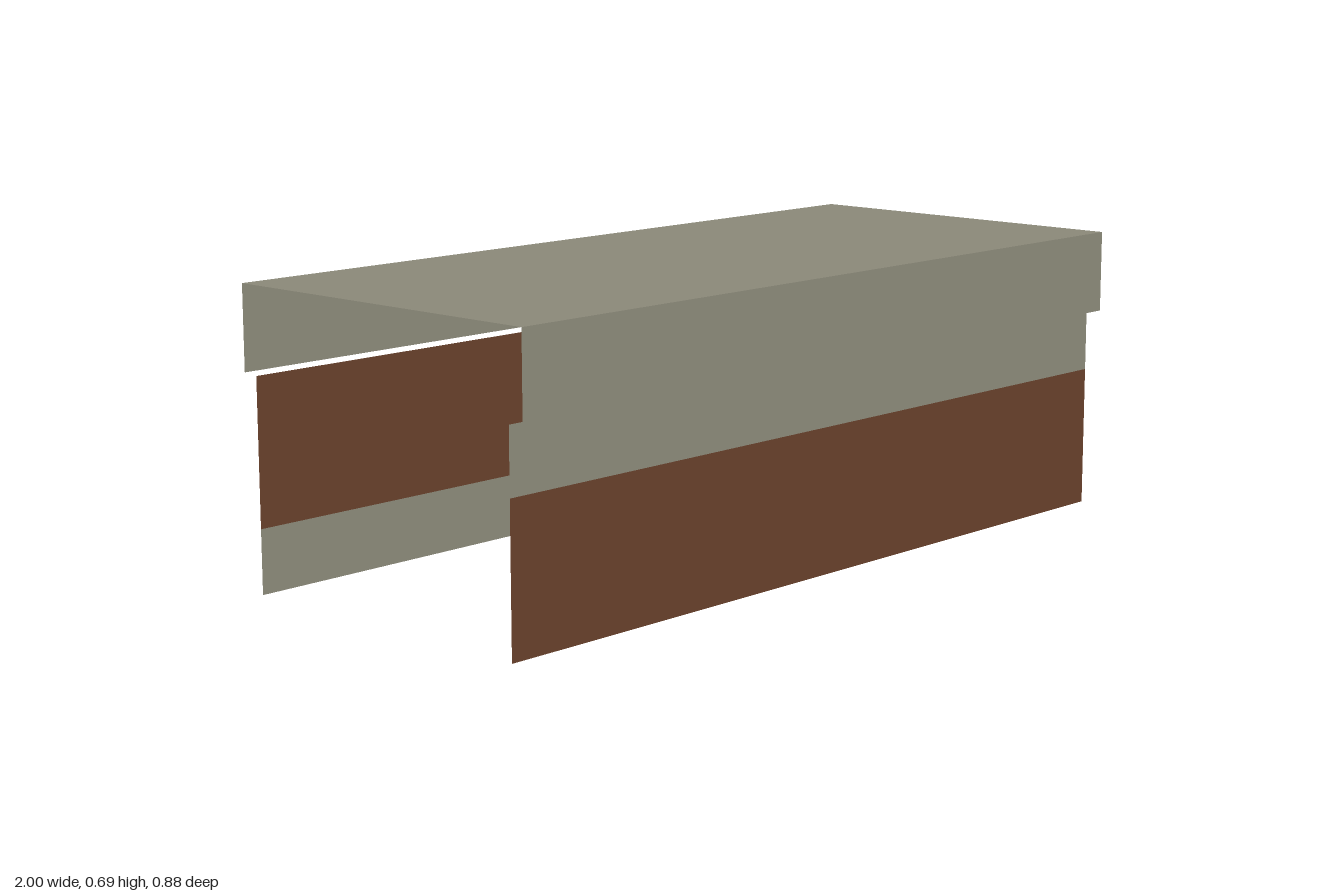
import * as THREE from 'three';

export function createModel() {
  const group = new THREE.Group();
  const stone = new THREE.MeshStandardMaterial({ name: 'stone grey', color: 0x8c8a7a, side: THREE.DoubleSide });
  const brown = new THREE.MeshStandardMaterial({ name: 'rust brown', color: 0x68402b, side: THREE.DoubleSide });

  const LENGTH = 2, TOP = 0.695, EAVE = 0.497, COVER_Z = 0.44;
  const WALL_Z = 0.4, WALL_TOP = 0.494;

  // Upright sheet running along x, facing outward on its side
  function sheet(name, material, y0, y1, z) {
    const mesh = new THREE.Mesh(new THREE.PlaneGeometry(LENGTH, y1 - y0), material);
    mesh.name = name;
    mesh.position.set(0, (y0 + y1) / 2, z);
    if (z < 0) mesh.rotation.y = Math.PI;
    group.add(mesh);
  }

  // Open cover: flat top with a skirt along each long side
  const top = new THREE.Mesh(new THREE.PlaneGeometry(LENGTH, COVER_Z * 2), stone);
  top.name = 'coverTop';
  top.rotation.x = -Math.PI / 2;
  top.position.y = TOP;
  group.add(top);
  sheet('coverSkirtFront', stone, EAVE, TOP, COVER_Z);
  sheet('coverSkirtBack', stone, EAVE, TOP, -COVER_Z);

  // Front wall: grey band above brown
  sheet('frontWallLower', brown, 0, 0.343, WALL_Z);
  sheet('frontWallUpper', stone, 0.343, WALL_TOP, WALL_Z);

  // Back wall: brown above grey band
  sheet('backWallLower', stone, 0, 0.15, -WALL_Z);
  sheet('backWallUpper', brown, 0.15, WALL_TOP, -WALL_Z);

  return group;
}
